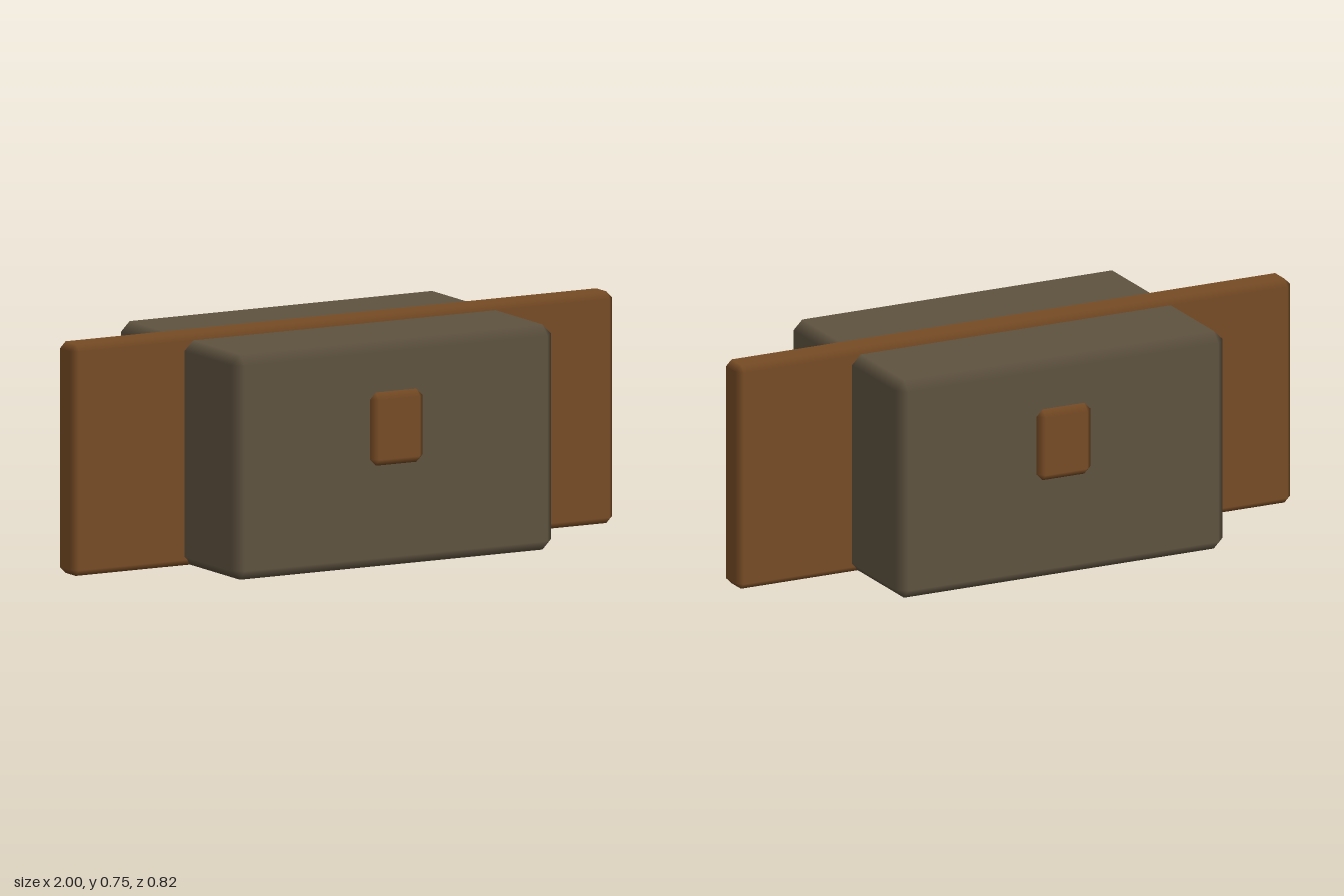
import * as THREE from 'three';

// Box with 45 degree bevels; normals blend across the bevels, faces stay flat
function bevelBox(w, h, d, c) {
  const half = [w / 2, h / 2, d / 2];
  const pos = [], nor = [], index = [];
  const sign = (bits, k) => ((bits >> k) & 1 ? 1 : -1);
  // Each box corner gives three points, one on each adjoining face
  for (let axis = 0; axis < 3; axis++) {
    for (let bits = 0; bits < 8; bits++) {
      for (let k = 0; k < 3; k++) {
        pos.push(sign(bits, k) * (half[k] - (k === axis ? 0 : c)));
        nor.push(k === axis ? sign(bits, k) : 0);
      }
    }
  }
  const point = (i) => new THREE.Vector3().fromArray(pos, i * 3);
  // Add a triangle, turned to face outward
  const tri = (i, j, k) => {
    const a = point(i), n = point(j).sub(a).cross(point(k).sub(a));
    if (n.dot(a) > 0) index.push(i, j, k);
    else index.push(i, k, j);
  };
  const quad = (i, j, k, l) => { tri(i, j, k); tri(i, k, l); };
  for (let a = 0; a < 3; a++) {
    const b = (a + 1) % 3, t = (a + 2) % 3;
    const A = 1 << a, B = 1 << b, T = 1 << t;
    for (const s of [0, A]) {
      const f = a * 8 + s;
      quad(f, f + B, f + B + T, f + T); // flat face
      for (const r of [0, B]) { // edge bevels
        const e = s + r;
        quad(a * 8 + e, b * 8 + e, b * 8 + e + T, a * 8 + e + T);
      }
    }
  }
  for (let bits = 0; bits < 8; bits++) tri(bits, 8 + bits, 16 + bits); // corners
  const g = new THREE.BufferGeometry();
  g.setAttribute('position', new THREE.Float32BufferAttribute(pos, 3));
  g.setAttribute('normal', new THREE.Float32BufferAttribute(nor, 3));
  g.setIndex(index);
  return g;
}

export function createModel() {
  const model = new THREE.Group();
  model.name = 'model';
  const material = (name, color) => {
    const m = new THREE.MeshStandardMaterial({ color });
    m.name = name;
    return m;
  };
  const drab = material('dark drab', 0x5f5340);
  const brown = material('warm brown', 0x784c25);

  const add = (name, size, bevel, mat, y, z = 0) => {
    const mesh = new THREE.Mesh(bevelBox(...size, bevel), mat);
    mesh.name = name;
    mesh.position.set(0, y, z);
    model.add(mesh);
  };

  // Main block and the long board running through it
  add('body', [1.18, 0.732, 0.774], 0.032, drab, 0.366);
  add('board', [2, 0.753, 0.107], 0.021, brown, 0.3765);

  // Raised buttons on the front and back
  for (const side of [1, -1]) {
    add(side > 0 ? 'frontButton' : 'backButton', [0.194, 0.238, 0.08], 0.022, brown, 0.452, side * 0.369);
  }
  return model;
}
